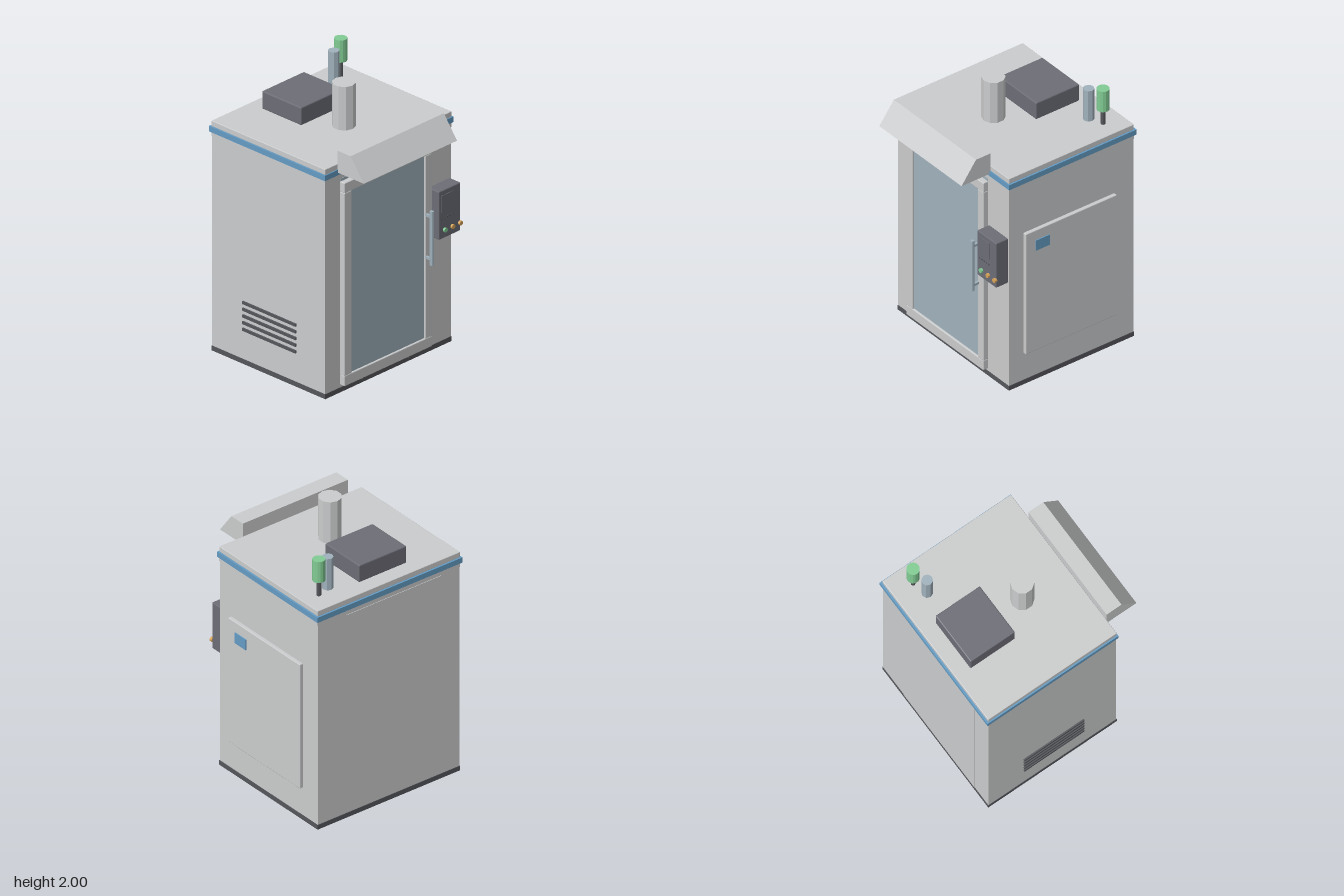
import * as THREE from 'three';
import { RoundedBoxGeometry } from 'three/addons/geometries/RoundedBoxGeometry.js';

const mat = (name, color, flatShading = false) => {
  const m = new THREE.MeshStandardMaterial({ color, flatShading });
  m.name = name;
  return m;
};

export function createModel() {
  const root = new THREE.Group();
  root.name = 'cabinet';
  const shell = mat('light grey shell', 0xcbcccd, true);
  const blue = mat('blue trim', 0x659cc4, true);
  const steel = mat('blue grey glass and steel', 0xa1b2bd, true);
  const dark = mat('dark grey housing', 0x6c6d76, true);
  const plinth = mat('charcoal', 0x55565b, true);
  const green = mat('green', 0x82cc94, true);
  const amber = mat('amber', 0xd9a55a, true);

  const add = (name, geo, material, parent = root) => {
    const m = new THREE.Mesh(geo, material);
    m.name = name;
    parent.add(m);
    return m;
  };
  // Box given by its minimum and maximum on each axis; bevel softens the edges
  const box = (name, material, [x0, x1], [y0, y1], [z0, z1], bevel = 0, parent = root) => {
    const size = [x1 - x0, y1 - y0, z1 - z0];
    const geo = bevel ? new RoundedBoxGeometry(...size, 1, bevel) : new THREE.BoxGeometry(...size);
    geo.translate((x0 + x1) / 2, (y0 + y1) / 2, (z0 + z1) / 2);
    return add(name, geo, material, parent);
  };
  // Upright cylinder standing between two heights
  const post = (name, material, x, z, r, y0, y1, sides, parent = root) => {
    const geo = new THREE.CylinderGeometry(r, r, y1 - y0, sides);
    geo.translate(x, (y0 + y1) / 2, z);
    return add(name, geo, material, parent);
  };
  const group = (name) => {
    const g = new THREE.Group();
    g.name = name;
    root.add(g);
    return g;
  };

  // Carcass
  const X = [-0.61, 0.582], Z = [-0.632, 0.405];
  box('base', plinth, X, [0, 0.035], Z);
  box('body', shell, [-0.607, 0.579], [0.035, 1.57], [-0.629, 0.402]);
  box('backPanel', shell, [-0.455, 0.34], [0.04, 1.56], [-0.633, -0.62]);
  box('lowerRoof', shell, X, [1.568, 1.605], Z);
  box('roofTrim', blue, [-0.62, 0.594], [1.602, 1.642], [-0.645, 0.412]);
  box('roofTop', shell, X, [1.64, 1.682], Z, 0.004);

  // Front door
  const door = group('door');
  const doorZ = [0.4, 0.444];
  box('doorTopRail', shell, [-0.468, 0.358], [1.468, 1.543], doorZ, 0.005, door);
  box('doorBottomRail', shell, [-0.468, 0.358], [0.055, 0.132], doorZ, 0.005, door);
  box('doorLeftStile', shell, [0.297, 0.358], [0.13, 1.47], doorZ, 0.005, door);
  box('doorRightStile', shell, [-0.468, -0.4], [0.13, 1.47], doorZ, 0.005, door);
  box('doorGlass', steel, [-0.402, 0.299], [0.13, 1.47], [0.4, 0.43], 0, door);
  for (const x of [-0.27, 0.17]) box('doorFoot', plinth, [x - 0.014, x + 0.014], [0.036, 0.056], [0.4, 0.43], 0, door);
  box('doorGap', steel, [-0.465, 0.35], [1.543, 1.563], [0.4, 0.405]);
  box('lightStrip', amber, [-0.375, 0.265], [1.543, 1.562], [0.4, 0.408]);

  // Door handle
  const handle = group('handle');
  post('handleBar', steel, 0.305, 0.493, 0.014, 0.685, 1.08, 8, handle);
  for (const y of [0.727, 1.037]) box('handleBracket', steel, [0.297, 0.313], [y - 0.009, y + 0.009], [0.44, 0.493], 0, handle);

  // Hood over the door, swept from its side profile
  const profile = new THREE.Shape([[0.405, 1.62], [0.645, 1.62], [0.525, 1.78], [0.405, 1.78]]
    .map(([z, y]) => new THREE.Vector2(z, y)));
  const hood = new THREE.ExtrudeGeometry(profile, { depth: 0.88, bevelEnabled: false });
  hood.rotateY(-Math.PI / 2).translate(0.385, 0, 0);
  add('hood', hood, shell);

  // Control box
  const control = group('controlBox');
  box('controlHousing', dark, [0.365, 0.568], [0.848, 1.2], [0.4, 0.5], 0.006, control);
  box('controlScreen', dark, [0.387, 0.497], [1.04, 1.165], [0.496, 0.504], 0, control);
  for (let i = 0; i < 5; i++) {
    const x = 0.392 + i * 0.025;
    box('controlKey', plinth, [x - 0.005, x + 0.005], [0.99, 1.0], [0.497, 0.503], 0, control);
  }
  [green, amber, amber].forEach((m, i) => {
    const geo = new THREE.CylinderGeometry(0.016, 0.016, 0.02, 10);
    geo.rotateX(Math.PI / 2).translate(0.416 + i * 0.072, 0.908, 0.506);
    add('controlButton', geo, m, control);
  });

  // Service panel on the left side
  box('sidePanel', shell, [0.575, 0.606], [0.247, 1.202], [-0.473, 0.283], 0.005);
  box('sidePlate', blue, [0.604, 0.613], [1.045, 1.125], [0.088, 0.204]);

  // Vent slats on the right side
  for (let i = 0; i < 5; i++) {
    const y = 0.255 + i * 0.049;
    box('ventSlat', plinth, [-0.618, -0.6], [y - 0.01, y + 0.01], [-0.345, 0.14]);
  }

  // Roof fittings
  post('chimney', shell, -0.055, 0.04, 0.08, 1.68, 2, 10);
  box('roofUnit', dark, [-0.252, 0.144], [1.68, 1.81], [-0.518, -0.16], 0.007);
  post('ventPipe', steel, 0.345, -0.44, 0.039, 1.68, 1.922, 8);
  post('beaconPost', plinth, 0.45, -0.478, 0.016, 1.68, 1.81, 8);
  post('beacon', green, 0.45, -0.478, 0.044, 1.8, 1.962, 14);

  return root;
}
